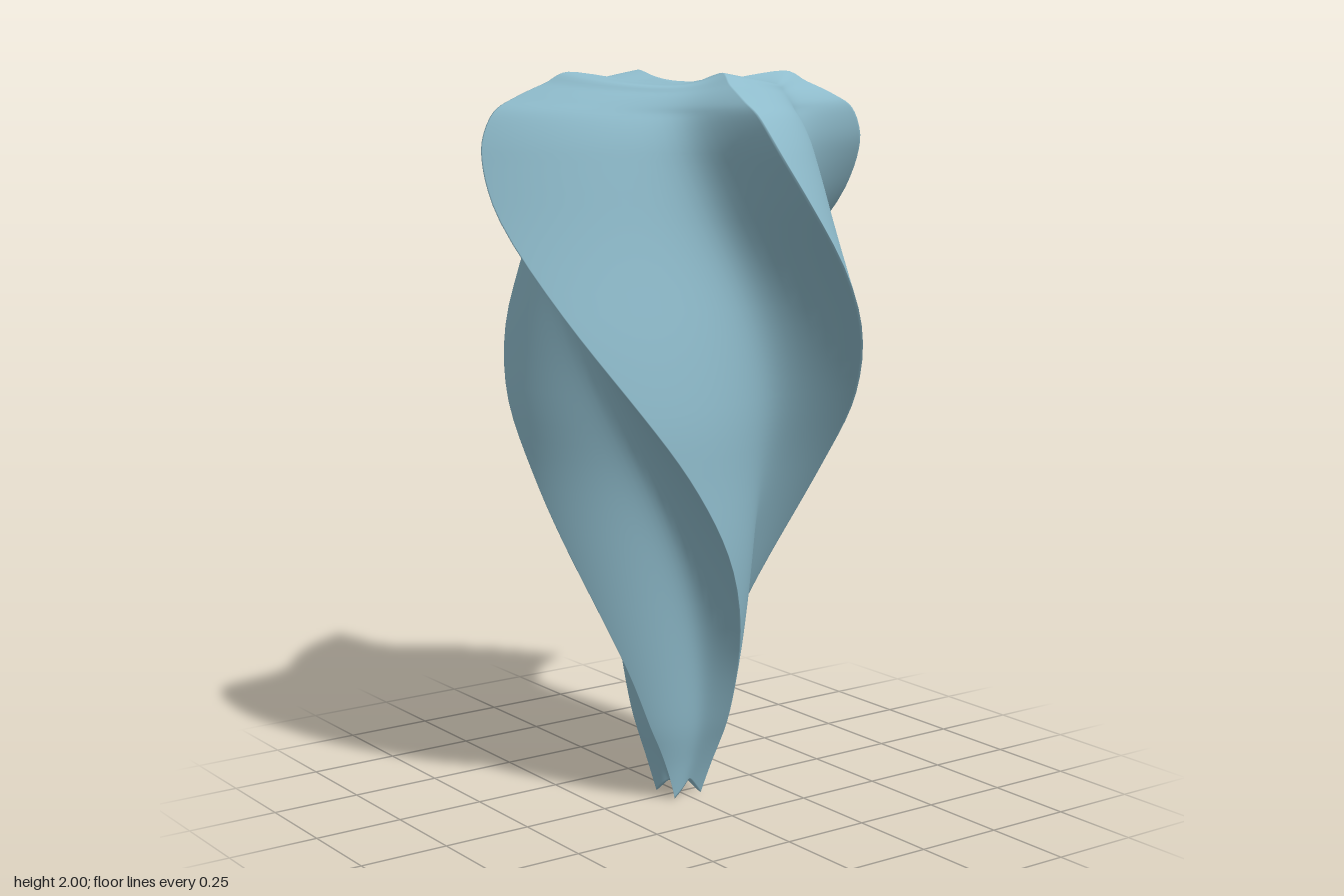
import * as THREE from 'three';

const twist = (y) => (1.67 - y) * 84;
// Cross-section levels: height, ridge radius, valley/ridge ratio, extra height at the ridge, twist in degrees
const LEVELS = [
  [0.05, 0.062, 0.55, -0.05, 135],
  [0.11, 0.094, 0.56, -0.02, 126],
  [0.2, 0.142, 0.56, 0, 117],
  [0.4, 0.212, 0.56, 0, 104],
  [0.7, 0.318, 0.56, 0],
  [0.93, 0.398, 0.56, 0],
  [1.15, 0.482, 0.56, 0],
  [1.4, 0.543, 0.555, 0],
  [1.67, 0.573, 0.55, 0],
  [1.8, 0.561, 0.55, 0, -8.5],
  [1.885, 0.51, 0.56, 0.015, -13],
  [1.915, 0.45, 0.62, 0.02, -14.5],
  [1.945, 0.37, 0.72, 0.025, -15],
  [1.963, 0.305, 0.82, 0.037, -14],
  [1.965, 0.16, 0.92, 0.015, -13],
];
const LOBES = 4, PER_LOBE = 28, SIDES = LOBES * PER_LOBE, STEPS = 5;

// Smooth interpolation between neighbouring levels
function sampleLevels() {
  const full = LEVELS.map((l) => [l[0], l[1], l[2], l[3], l[4] ?? twist(l[0])]);
  const rows = [];
  const at = (i) => full[Math.min(Math.max(i, 0), full.length - 1)];
  for (let i = 0; i < full.length - 1; i++) {
    for (let s = 0; s < STEPS; s++) {
      const t = s / STEPS;
      rows.push(at(i).map((b, k) => {
        // limited slopes, to avoid overshoot
        const a = at(i - 1)[k], c = at(i + 1)[k], d = at(i + 2)[k];
        const d0 = b - a, d1 = c - b, d2 = d - c;
        const m0 = d0 * d1 > 0 ? 2 * d0 * d1 / (d0 + d1) : 0;
        const m1 = d1 * d2 > 0 ? 2 * d1 * d2 / (d1 + d2) : 0;
        const t2 = t * t, t3 = t2 * t;
        return b * (2 * t3 - 3 * t2 + 1) + m0 * (t3 - 2 * t2 + t) + c * (3 * t2 - 2 * t3) + m1 * (t3 - t2);
      }));
    }
  }
  rows.push(full[full.length - 1]);
  return rows;
}

// Four overlapping twisted lobes, closed at both ends
function twistedBody() {
  const rows = sampleLevels(), pos = [], index = [];
  for (const [y, ridge, valley, lift, deg] of rows) {
    for (let j = 0; j < SIDES; j++) {
      // samples gather towards the ridges
      const u = (j % PER_LOBE) / PER_LOBE;
      const t = u * u * (3 - 2 * u);
      // broad upper face after each ridge, steep undercut before the next
      const f = Math.pow(1 - t, 2.2) + Math.pow(t, 8);
      const r = ridge * (valley + (1 - valley) * f);
      const phi = (Math.floor(j / PER_LOBE) + t) * Math.PI / 2 + THREE.MathUtils.degToRad(deg);
      pos.push(r * Math.sin(phi), y + lift * f, r * Math.cos(phi) * 1.015);
    }
  }
  for (let i = 0; i < rows.length - 1; i++) {
    for (let j = 0; j < SIDES; j++) {
      const k = (j + 1) % SIDES;
      const a = i * SIDES + j, b = i * SIDES + k;
      index.push(a, b, b + SIDES, a, b + SIDES, a + SIDES);
    }
  }
  // end fans
  const bottom = pos.length / 3, top = bottom + 1, last = (rows.length - 1) * SIDES;
  pos.push(0, 0.06, 0, 0, 1.965, 0);
  for (let j = 0; j < SIDES; j++) {
    const k = (j + 1) % SIDES;
    index.push(bottom, k, j, top, last + j, last + k);
  }
  const geo = new THREE.BufferGeometry();
  geo.setAttribute('position', new THREE.Float32BufferAttribute(pos, 3));
  geo.setIndex(index);
  geo.computeVertexNormals();
  return geo;
}

export function createModel() {
  const paleBlue = new THREE.MeshStandardMaterial({ color: 0x8fbccc });
  paleBlue.name = 'paleBlue';
  const group = new THREE.Group();
  group.name = 'twistedForm';
  const body = new THREE.Mesh(twistedBody(), paleBlue);
  body.name = 'twistedBody';
  group.add(body);
  return group;
}
